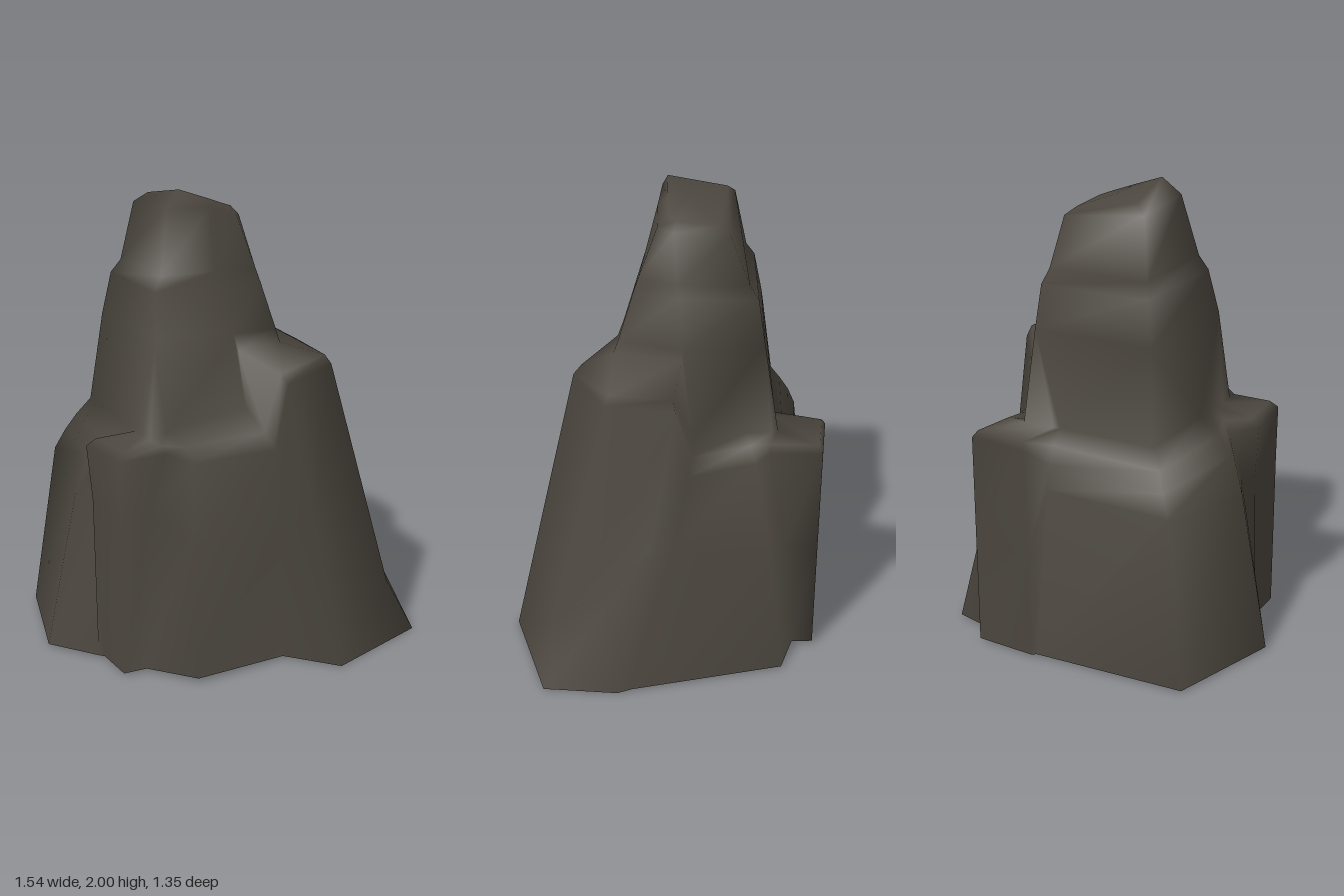
import * as THREE from 'three';
import { mergeVertices } from 'three/addons/utils/BufferGeometryUtils.js';

const stone = new THREE.MeshStandardMaterial({ color: 0x4c473f, side: THREE.DoubleSide });
stone.name = 'dark stone';

// Skins a set of corner lines, each a list of [x, y, z] from bottom to top, going
// counterclockwise seen from above; capped on top, open below, welded so it shades smoothly
function skin(name, corners) {
  const n = corners.length, levels = corners[0].length;
  const pos = corners.flat(2);
  const index = [];
  for (let i = 0; i < n; i++) {
    const j = (i + 1) % n;
    for (let k = 0; k < levels - 1; k++) {
      const a = i * levels + k, b = j * levels + k;
      index.push(a, b, b + 1, a, b + 1, a + 1);
    }
    index.push(i * levels + levels - 1, j * levels + levels - 1, n * levels);
  }
  for (let k = 0; k < 3; k++) pos.push(corners.reduce((sum, c) => sum + c[levels - 1][k], 0) / n);
  const geo = new THREE.BufferGeometry();
  geo.setAttribute('position', new THREE.Float32BufferAttribute(pos, 3));
  geo.setIndex(index);
  const welded = mergeVertices(geo, 1e-4);
  welded.computeVertexNormals();
  const mesh = new THREE.Mesh(welded, stone);
  mesh.name = name;
  return mesh;
}

export function createModel() {
  // Spire corner lines: base, shoulder, inset above the shoulder, bevel, tilted tip
  const backLeft = [[-0.36, 1.4, -0.37], [-0.33, 1.59, -0.335], [-0.298, 1.65, -0.3], [-0.255, 1.91, -0.25], [-0.2, 1.95, -0.22]];
  const frontLeft = [[-0.36, 1.4, 0.195], [-0.335, 1.6, 0.14], [-0.3, 1.66, 0.12], [-0.245, 1.93, 0.06], [-0.17, 2, 0.03]];
  const frontMid = [[0, 1.4, 0.205], [-0.05, 1.6, 0.145], [-0.05, 1.66, 0.125], [-0.04, 1.92, 0.06], [-0.04, 1.953, 0.02]];
  const frontRight = [[0.2, 1.4, 0.205], [0.155, 1.6, 0.145], [0.14, 1.66, 0.125], [0.09, 1.87, 0.05], [0.06, 1.915, 0.01]];
  const right = [[0.265, 1.4, -0.07], [0.21, 1.6, -0.05], [0.19, 1.66, -0.04], [0.135, 1.86, -0.02], [0.1, 1.9, -0.03]];
  const backRight = [[0.18, 1.4, -0.41], [0.165, 1.59, -0.38], [0.15, 1.65, -0.34], [0.13, 1.86, -0.255], [0.1, 1.89, -0.21]];

  // Back and left flank of the foot: foot, bend, ledge edge, rim, meeting with the spire
  const leftFlank = [
    [[-0.64, 0.01, -0.58], [-0.54, 0.75, -0.53], [-0.5, 0.84, -0.5], [-0.46, 0.92, -0.46], [-0.405, 1, -0.42], ...backLeft],
    [[-0.77, 0.01, -0.07], [-0.63, 0.7, -0.06], [-0.56, 0.86, -0.05], [-0.5, 0.94, -0.04], [-0.41, 1, -0.04], ...backLeft],
  ];
  // Upright block at the left front
  const sideBlock = [
    [[-0.615, 0.01, 0.13], [-0.56, 0.72, 0.06], [-0.51, 0.92, 0.035], [-0.48, 0.97, 0.04], [-0.41, 1, 0.04], ...frontLeft],
    [[-0.595, 0.01, 0.15], [-0.61, 0.72, 0.09], [-0.63, 0.96, 0.08], [-0.59, 0.99, 0.09], [-0.41, 1, 0.1], ...frontLeft],
    [[-0.585, 0.01, 0.34], [-0.585, 0.72, 0.34], [-0.59, 0.96, 0.335], [-0.56, 0.99, 0.31], [-0.41, 1, 0.16], ...frontLeft],
    [[-0.48, 0.01, 0.34], [-0.46, 0.72, 0.335], [-0.38, 0.96, 0.32], [-0.39, 0.99, 0.3], [-0.405, 1, 0.23], ...frontLeft],
  ];
  // Front face, running up into the spire beside the buttress
  const frontFace = [
    [[-0.33, 0.02, 0.54], [-0.3, 0.6, 0.44], [-0.27, 0.92, 0.38], [-0.29, 0.98, 0.33], [-0.35, 1.04, 0.275], ...frontLeft],
    [[0.1, 0.01, 0.49], [0.1, 0.6, 0.44], [0.1, 0.93, 0.4], [0.07, 1, 0.36], [0.01, 1.1, 0.3], ...frontMid],
  ];
  // Buttress with a slanted top
  const buttress = [
    [[0.29, 0, 0.67], [0.22, 0.6, 0.54], [0.155, 1.21, 0.405], [0.14, 1.25, 0.37], [0.01, 1.33, 0.23], ...frontMid],
    [[0.77, 0, 0.48], [0.64, 0.25, 0.455], [0.46, 1.22, 0.235], [0.435, 1.26, 0.22], [0.21, 1.345, 0.225], ...frontRight],
    [[0.77, 0, 0.16], [0.62, 0.6, 0.05], [0.47, 1.21, -0.06], [0.45, 1.26, -0.05], [0.28, 1.36, -0.07], ...right],
  ];
  // Right flank behind the buttress
  const rightFlank = [
    [[0.75, 0.01, 0.1], [0.55, 0.6, -0.06], [0.42, 0.88, -0.11], [0.37, 0.95, -0.12], [0.305, 1, -0.12], ...right],
    [[0.53, 0.01, -0.53], [0.43, 0.5, -0.47], [0.35, 0.92, -0.39], [0.3, 0.98, -0.37], [0.23, 1, -0.34], ...backRight],
  ];
  // Upright block at the back
  const backBlock = [
    [[0.34, 0.01, -0.57], [0.335, 0.5, -0.52], [0.325, 0.96, -0.45], [0.3, 0.99, -0.45], [0.215, 1, -0.45], ...backRight],
    [[0.33, 0.01, -0.66], [0.33, 0.5, -0.665], [0.33, 0.97, -0.67], [0.31, 1, -0.655], [0.2, 1, -0.475], ...backRight],
    [[0.06, 0.01, -0.66], [0.06, 0.5, -0.668], [0.06, 0.97, -0.675], [0.08, 1, -0.66], [0.06, 1, -0.46], ...backRight],
    [[0.04, 0.01, -0.645], [0.04, 0.75, -0.545], [0.045, 0.85, -0.515], [0.045, 0.93, -0.49], [0.03, 1, -0.455], ...backRight],
  ];

  const rock = new THREE.Group();
  rock.name = 'rock';
  rock.add(skin('rockFormation', [
    ...leftFlank, ...sideBlock, ...frontFace, ...buttress, ...rightFlank, ...backBlock,
  ]));
  return rock;
}
